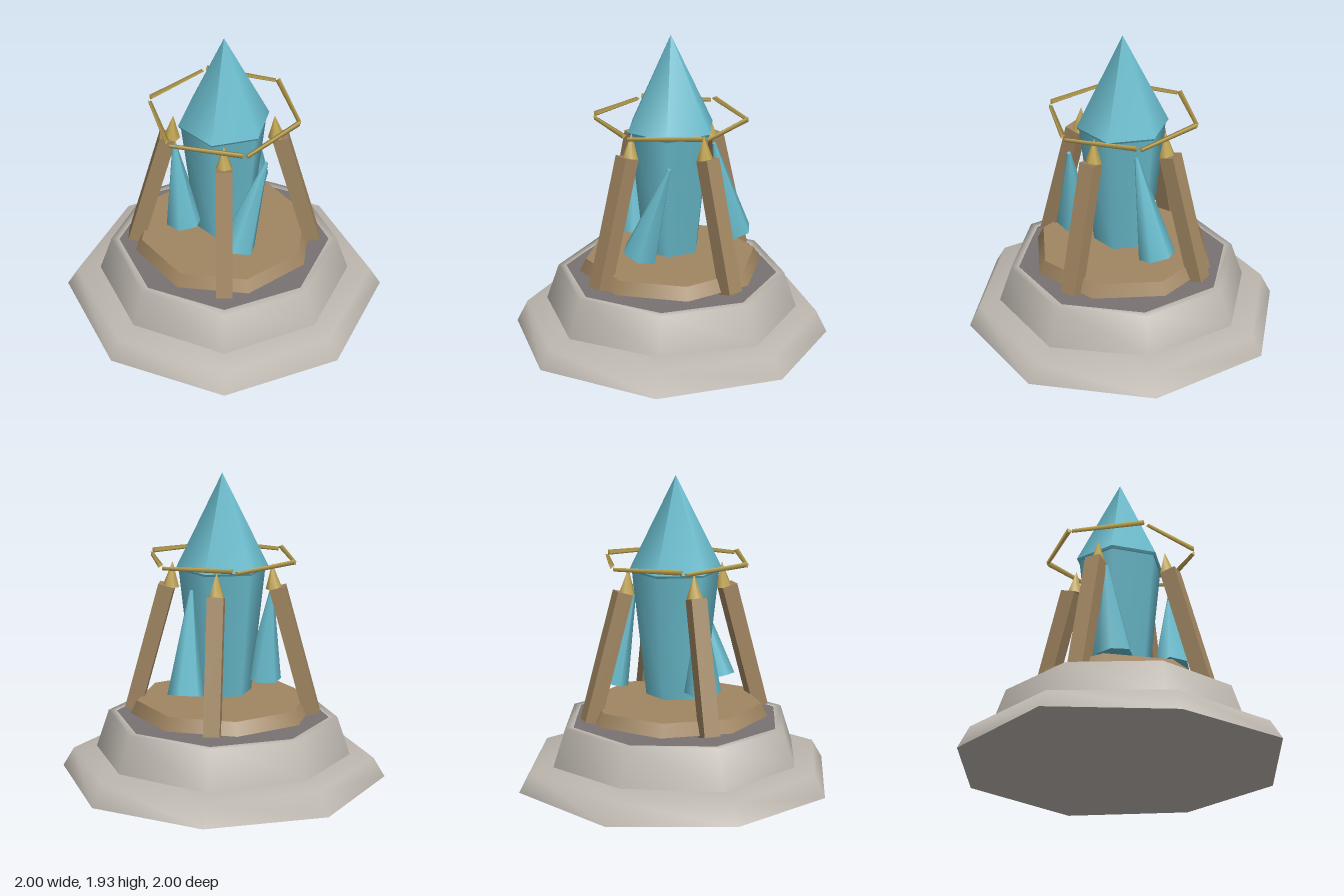
import * as THREE from 'three';

const mat = (name, color, extra = {}) => {
  const m = new THREE.MeshStandardMaterial({ color, ...extra });
  m.name = name;
  return m;
};

export function createModel() {
  const stone = mat('pale stone', 0xbdb7af);
  const darkStone = mat('dark stone', 0x787272);
  const wood = mat('wood', 0xa08561);
  const teal = mat('teal', 0x69bbcc);
  const gold = mat('gold', 0xbfa452);

  const model = new THREE.Group();
  const V = (x, y, z) => new THREE.Vector3(x, y, z);

  const add = (parent, name, geometry, material) => {
    const mesh = new THREE.Mesh(geometry, material);
    mesh.name = name;
    parent.add(mesh);
    return mesh;
  };

  // Turned part; a repeated profile point makes a sharp edge
  const turned = (name, profile, sides, material) =>
    add(model, name,
      new THREE.LatheGeometry(profile.map(([r, y]) => new THREE.Vector2(r, y)), sides), material);

  // Tapered rod running from a to b
  const rod = (name, a, b, ra, rb, sides, material) => {
    const mesh = add(model, name,
      new THREE.CylinderGeometry(rb, ra, a.distanceTo(b), sides), material);
    mesh.position.copy(a).lerp(b, 0.5);
    mesh.quaternion.setFromUnitVectors(V(0, 1, 0), b.clone().sub(a).normalize());
    return mesh;
  };

  // Stretch and lift every second corner of an eight-sided tier
  const warp = (mesh, scale, lift, below) => {
    const p = mesh.geometry.attributes.position;
    const rows = p.count / 9;
    for (let i = 0; i < p.count; i++) {
      if (Math.floor(i / rows) % 2 === 0) continue;
      p.setX(i, p.getX(i) * scale);
      p.setZ(i, p.getZ(i) * scale);
      if (p.getY(i) < below && Math.hypot(p.getX(i), p.getZ(i)) > 0.1) p.setY(i, p.getY(i) + lift);
    }
  };

  // Stepped stone base
  warp(turned('lowerTier',
    [[0, 0.02], [1, 0.02], [1, 0.02], [0.93, 0.16], [0.6, 0.16], [0, 0.16]], 8, stone),
  1.03, 0.02, 0.1);
  warp(turned('upperTier',
    [[0, 0.19], [0.8, 0.19], [0.8, 0.19], [0.72, 0.42], [0.67, 0.42]], 8, stone),
  1.01, -0.012, 0.3);
  const floor = add(model, 'darkFloor', new THREE.CircleGeometry(0.675, 8), darkStone);
  floor.rotation.x = -Math.PI / 2;
  floor.position.y = 0.418;

  // Wooden launch deck
  const deck = turned('deck',
    [[0, 0.45], [0.58, 0.45], [0.58, 0.45], [0.54, 0.53], [0.54, 0.53], [0, 0.53]], 8, wood);
  deck.rotation.y = THREE.MathUtils.degToRad(15);

  // Rocket hull and nose cone
  turned('hull', [[0, 0.575], [0.185, 0.575], [0.185, 0.575], [0.272, 1.365]], 6, teal);
  turned('noseCone',
    [[0, 1.355], [0.28, 1.355], [0.28, 1.355], [0.288, 1.37], [0.288, 1.37], [0, 1.95]], 6, teal);

  // Three leaning, cone-shaped fins
  [
    [V(0.39, 0.64, -0.135), V(0.265, 1.26, -0.03)],
    [V(-0.165, 0.63, 0.28), V(0.02, 1.21, 0.34)],
    [V(-0.235, 0.64, -0.12), V(-0.25, 1.22, -0.18)],
  ].forEach(([base, tip]) => rod('fin', base, tip, 0.115, 0.012, 6, teal));

  // Four inward-leaning posts with pointed gold caps
  const lean = Math.atan2(0.22, 0.8);
  for (let k = 0; k < 4; k++) {
    const post = new THREE.Group();
    post.name = 'post';
    post.rotation.y = Math.PI / 4 + k * Math.PI / 2;
    model.add(post);
    const beam = add(post, 'beam', new THREE.BoxGeometry(0.1, 0.83, 0.1), wood);
    beam.position.set(0, 0.845, 0.455);
    beam.rotation.x = -lean;
    const cap = add(post, 'cap', new THREE.ConeGeometry(0.052, 0.16, 6), gold);
    cap.position.set(0, 1.315, 0.315);
    cap.rotation.x = -0.08;
  }

  // Thin six-bar ring with small gaps at the corners
  const corner = (i, y) => V(Math.cos(i * Math.PI / 3) * 0.475, y, Math.sin(i * Math.PI / 3) * 0.475);
  for (let i = 0; i < 6; i++) {
    const a = corner(i, 1.435), b = corner(i + 1, 1.42);
    const bar = rod('ringBar', a.clone().lerp(b, 0.03), b.clone().lerp(a, 0.03), 0.019, 0.014, 3, gold);
    bar.rotateY(i);
  }

  return model;
}
